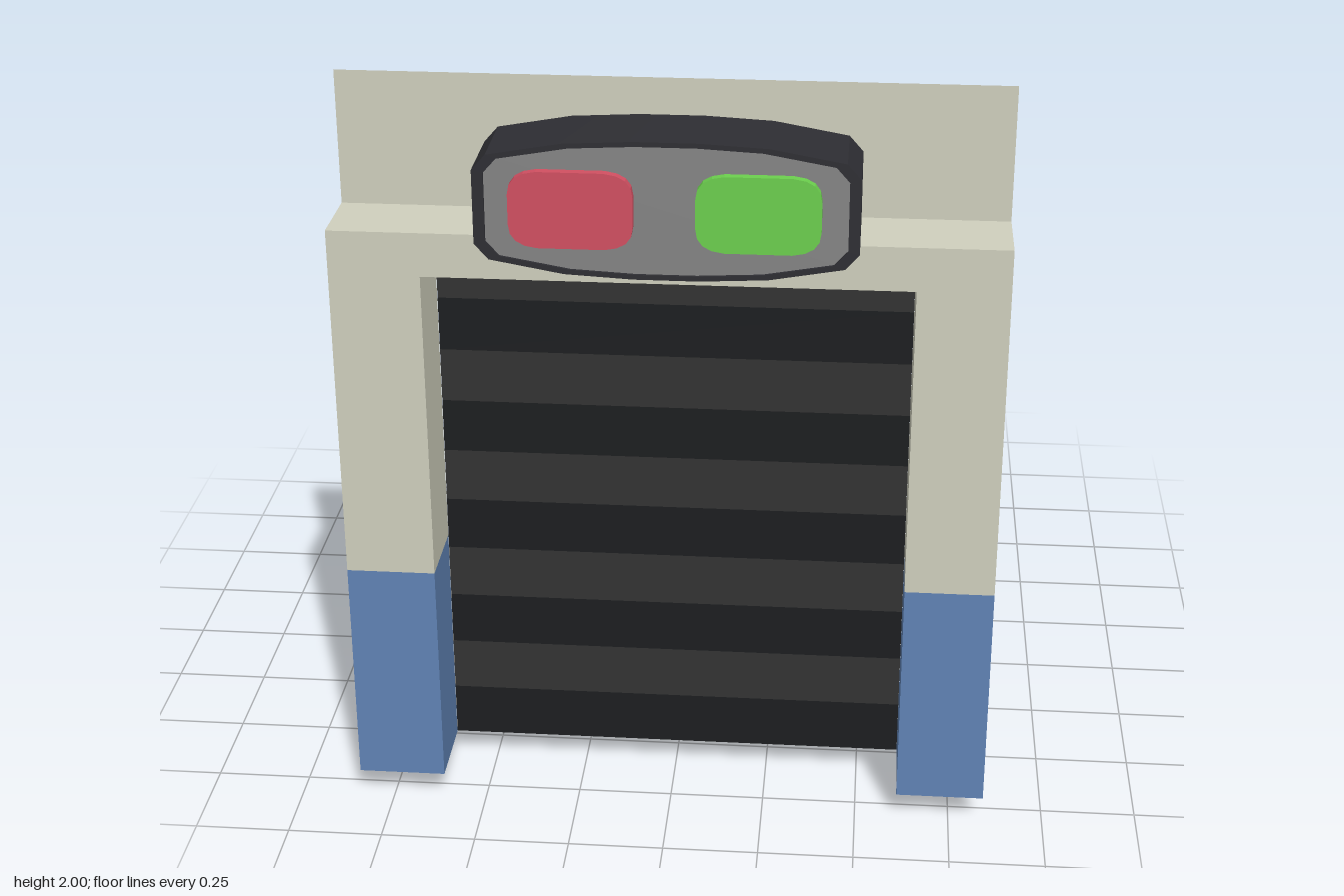
import * as THREE from 'three';
import { toCreasedNormals } from 'three/addons/utils/BufferGeometryUtils.js';
import { RoundedBoxGeometry } from 'three/addons/geometries/RoundedBoxGeometry.js';

const mat = (color) => new THREE.MeshStandardMaterial({ color, side: THREE.DoubleSide });
const cream = mat(0xd0d0be), blue = mat(0x6184b6), black = mat(0x1c1e20), slatGrey = mat(0x333333);
const signDark = mat(0x2e2e33), signGrey = mat(0x858585), red = mat(0xd25062), green = mat(0x6cd04e);
const white = mat(0xbdb7be), baseDark = mat(0x3a3a3a), stripeRed = mat(0xd01a22), doorBlue = mat(0x3c4ae0);
const rubber = mat(0x1d1d1d), hubGrey = mat(0x4a4a4a), lampRed = mat(0x8c1018);

function add(parent, name, geometry, material, x = 0, y = 0, z = 0) {
  const mesh = new THREE.Mesh(geometry, material);
  mesh.name = name;
  mesh.position.set(x, y, z);
  parent.add(mesh);
  return mesh;
}

// Flat panel between two corners that share one coordinate
function panel(parent, name, material, [x0, y0, z0], [x1, y1, z1]) {
  const w = x1 - x0, h = y1 - y0, d = z1 - z0;
  const geo = d === 0 ? new THREE.PlaneGeometry(w, h)
    : h === 0 ? new THREE.PlaneGeometry(w, d).rotateX(-Math.PI / 2)
      : new THREE.PlaneGeometry(d, h).rotateY(x0 < 0 ? Math.PI / 2 : -Math.PI / 2);
  return add(parent, name, geo, material, (x0 + x1) / 2, (y0 + y1) / 2, (z0 + z1) / 2);
}

// Skin over rings of Vector3 with equal point counts
function loft(rings, closed, crease = 0.7) {
  const out = [];
  for (let i = 0; i < rings.length - 1; i++) {
    const a = rings[i], b = rings[i + 1], n = a.length;
    for (let j = 0; j < (closed ? n : n - 1); j++) {
      const k = (j + 1) % n;
      out.push(a[j], b[j], b[k], a[j], b[k], a[k]);
    }
  }
  const geo = new THREE.BufferGeometry().setFromPoints(out);
  return toCreasedNormals(geo, crease);
}

// Side outline of [z, y] points, extruded along x around its centre
function sideSlab(points, width) {
  const shape = new THREE.Shape(points.map(([z, y]) => new THREE.Vector2(z, y)));
  return new THREE.ExtrudeGeometry(shape, { depth: width, bevelEnabled: false })
    .rotateY(-Math.PI / 2).translate(width / 2, 0, 0);
}

function createGate() {
  const gate = new THREE.Group();
  gate.name = 'gate';
  const F = 0.815, B = 0.605, bottom = 0.08, mid = 0.7, top = 1.535, ledge = 1.65;
  // Pillars: front face and inner return, with a painted lower part
  for (const s of [-1, 1]) {
    const x0 = s < 0 ? -0.84 : 0.61, x1 = s < 0 ? -0.61 : 0.84;
    panel(gate, 'pillarFront', cream, [x0, mid, F], [x1, ledge, F]);
    panel(gate, 'pillarFrontBase', blue, [x0, bottom, F], [x1, mid, F]);
    panel(gate, 'pillarReturn', cream, [s * 0.61, mid, B], [s * 0.61, top, F]);
    panel(gate, 'pillarReturnBase', blue, [s * 0.61, bottom, B], [s * 0.61, mid, F]);
  }
  // Lintel, soffit, ledge and upper wall
  panel(gate, 'lintel', cream, [-0.61, top, F], [0.61, ledge, F]);
  panel(gate, 'soffit', cream, [-0.61, top, 0.597], [0.61, top, F]);
  panel(gate, 'ledge', cream, [-0.84, ledge, 0.62], [0.84, ledge, F]);
  panel(gate, 'upperWall', cream, [-0.84, ledge, 0.62], [0.84, 2, 0.62]);
  // Roller door slats
  const slat = (top - bottom) / 10;
  for (let i = 0; i < 10; i++) {
    panel(gate, 'doorSlat', i % 2 ? black : slatGrey,
      [-0.61, top - (i + 1) * slat, 0.6], [0.61, top - i * slat, 0.6]);
  }
  return gate;
}

function createSign() {
  const sign = new THREE.Group();
  sign.name = 'signalSign';
  // Quarter outline mirrored into a closed loop
  const quarter = [[0.47, 0.095], [0.435, 0.135], [0.25, 0.168], [0.08, 0.177]];
  const loop = [[1, 1], [-1, 1], [-1, -1], [1, -1]].flatMap(([sx, sy]) => {
    const q = quarter.map(([x, y]) => [x * sx, y * sy]);
    return sx * sy > 0 ? q : q.reverse();
  });
  const ring = (kx, ky, z) => loop.map(([x, y]) => new THREE.Vector3(x * kx, 1.728 + y * ky, z));
  const inner = ring(0.94, 0.93, 0.815);
  add(sign, 'signHousing', loft([ring(1, 1, 0.61), ring(1, 1, 0.83), ring(0.94, 0.93, 0.83), inner], true, 0.5), signDark);
  add(sign, 'signFace', new THREE.ShapeGeometry(new THREE.Shape(inner.map((p) => new THREE.Vector2(p.x, p.y)))),
    signGrey, 0, 0, 0.823);
  // Rounded lights
  const w = 0.152, h = 0.098, lamp = new THREE.Shape();
  lamp.moveTo(-w + 0.07, -h).lineTo(w - 0.07, -h).quadraticCurveTo(w, -h + 0.005, w, -h + 0.06)
    .lineTo(w, h - 0.06).quadraticCurveTo(w, h - 0.005, w - 0.07, h).lineTo(-w + 0.07, h)
    .quadraticCurveTo(-w, h - 0.005, -w, h - 0.06).lineTo(-w, -h + 0.06).quadraticCurveTo(-w, -h + 0.005, -w + 0.07, -h);
  const lampGeo = new THREE.ExtrudeGeometry(lamp, { depth: 0.03, bevelEnabled: false, curveSegments: 4 });
  add(sign, 'redLight', lampGeo, red, -0.23, 1.73, 0.815);
  add(sign, 'greenLight', lampGeo, green, 0.225, 1.73, 0.815);
  return sign;
}

function createVan() {
  const van = new THREE.Group();
  van.name = 'van';
  van.position.x = 0.03;
  const lean = -0.349;

  // Body shell: arched section swept from the slanted door end to the open cut end
  const half = 0.48;
  const arch = [[half, 0], [half, 0.35], [half, 0.93], [half - 0.015, 0.975], [half - 0.06, 1]];
  const section = [...arch, ...arch.map(([x, t]) => [-x, t]).reverse()];
  const at = (x, t, s) => new THREE.Vector3(x,
    THREE.MathUtils.lerp(0.37 + 0.88 * t, 0.2 + 0.915 * t, s),
    THREE.MathUtils.lerp(0.24 - 0.32 * t, -0.69 - 0.155 * t, s));
  const ring = (s, inset) => section.map(([x, t]) => at(x * (1 - inset * 0.8), t * (1 - inset), s));
  const centre = (s) => section.map(() => at(0, 0.5, s));
  add(van, 'bodyShell', loft([ring(0, 0.055), ring(0.03, 0.02), ring(0.085, 0), ring(0.975, 0), ring(1, 0.025)], false), white);
  add(van, 'doorWall', loft([centre(0), ring(0, 0.055)], true), white);
  add(van, 'recessedEndPanel', loft([centre(0.92), ring(0.88, 0)], true, 1), white);

  // Dark sill and bumper
  add(van, 'sill', sideSlab([[0.335, 0.2], [0.3, 0.26], [0.235, 0.385], [0.16, 0.335], [0.1, 0.35], [-0.03, 0.355],
    [-0.12, 0.325], [-0.155, 0.285], [-0.69, 0.205], [-0.66, 0.03], [-0.155, 0.125], [0.19, 0.18]], 0.966), baseDark);

  // Red band on both sides and around the door end
  for (const s of [-1, 1]) {
    add(van, 'sideStripe', sideSlab([[0.1, 0.665], [0.095, 0.705], [-0.751, 0.555], [-0.744, 0.513]], 0.006), stripeRed, s * half);
  }
  add(van, 'endStripe', new THREE.BoxGeometry(0.962, 0.042, 0.01), stripeRed, 0, 0.688, 0.126).rotation.x = lean;

  // Double doors with hinges, lamps and reflectors
  for (const s of [-1, 1]) {
    add(van, 'door', new RoundedBoxGeometry(0.405, 0.9, 0.06, 2, 0.02), doorBlue, s * 0.213, 0.76, 0.122).rotation.x = lean;
    for (const [y, z] of [[0.91, 0.05], [0.62, 0.16]]) {
      add(van, 'hinge', new THREE.BoxGeometry(0.05, 0.05, 0.05), doorBlue, s * 0.425, y, z).rotation.x = lean;
    }
    add(van, 'tailLamp', new THREE.BoxGeometry(0.05, 0.15, 0.02), lampRed, s * 0.45, 0.5, 0.192).rotation.x = lean;
    add(van, 'reflector', new THREE.BoxGeometry(0.05, 0.03, 0.03), lampRed, s * 0.46, 0.24, 0.303);
  }

  // Wheels
  for (const s of [-1, 1]) {
    const wheel = new THREE.Group();
    wheel.name = 'wheel';
    wheel.position.set(s * 0.435, 0.175, 0.03);
    van.add(wheel);
    const profile = [[0.06, -0.055], [0.14, -0.055], [0.17, -0.03], [0.17, 0.03], [0.14, 0.057], [0.07, 0.057], [0.06, 0.045]];
    const tyre = new THREE.LatheGeometry(profile.map(([r, y]) => new THREE.Vector2(r, y)), 16).rotateZ(-s * Math.PI / 2);
    add(wheel, 'tyre', toCreasedNormals(tyre, 0.6), rubber);
    add(wheel, 'hub', new THREE.CylinderGeometry(0.062, 0.062, 0.095, 16).rotateZ(Math.PI / 2), hubGrey);
  }
  return van;
}

export function createModel() {
  const model = new THREE.Group();
  model.name = 'vanAtGate';
  model.add(createGate(), createSign(), createVan());
  return model;
}
